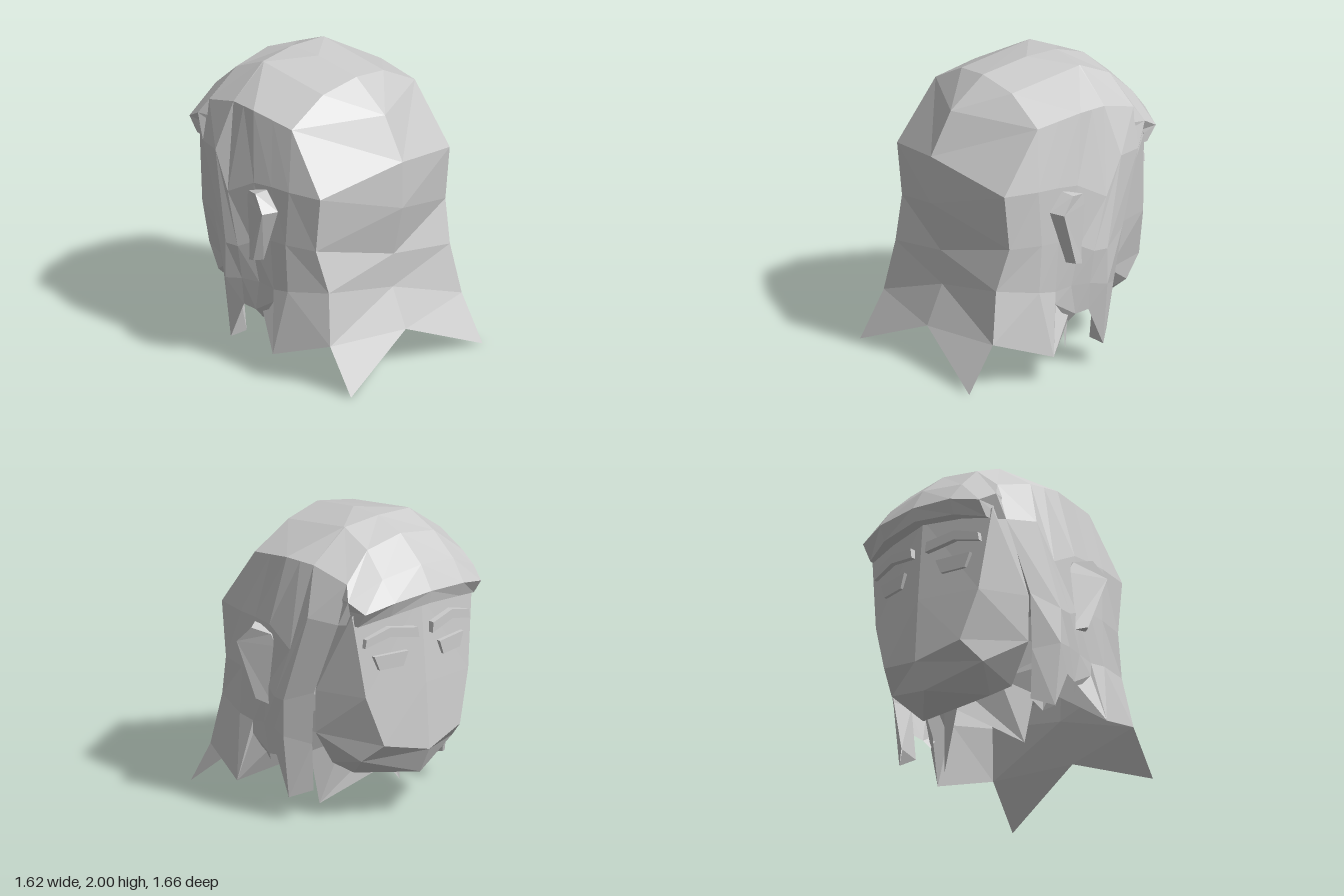
import * as THREE from 'three';

const skinGrey = new THREE.MeshStandardMaterial({ color: 0xcccccc, flatShading: true, side: THREE.DoubleSide });
skinGrey.name = 'light grey';

// Half surface lofted through rows of [x, y, z] points
function loft(rows) {
  const geo = new THREE.BufferGeometry();
  const index = [], n = rows[0].length;
  for (let i = 0; i < rows.length - 1; i++) {
    for (let j = 0; j < n - 1; j++) {
      const a = i * n + j, b = a + 1, c = b + n, d = a + n;
      index.push(a, b, c, a, c, d);
    }
  }
  geo.setAttribute('position', new THREE.Float32BufferAttribute(rows.flat(2), 3));
  geo.setIndex(index);
  return geo;
}

// Flat outline given thickness, then bent by a rule
function slab(points, depth, rule) {
  const shape = new THREE.Shape(points.map(([x, y]) => new THREE.Vector2(x, y)));
  const geo = new THREE.ExtrudeGeometry(shape, { depth, bevelEnabled: false });
  const p = geo.attributes.position;
  for (let i = 0; i < p.count; i++) p.setXYZ(i, ...rule(p.getX(i), p.getY(i), p.getZ(i)));
  return geo;
}

// Mirrored copy with the corner order turned round
function mirror(geo) {
  const out = geo.clone();
  const p = out.attributes.position;
  for (let i = 0; i < p.count; i += 3) {
    const v = [0, 2, 1].map(k => [-p.getX(i + k), p.getY(i + k), p.getZ(i + k)]);
    v.forEach((q, k) => p.setXYZ(i + k, ...q));
  }
  return out;
}

export function createModel() {
  const model = new THREE.Group();
  model.name = 'head';

  function addPair(name, geo) {
    const half = geo.index ? geo.toNonIndexed() : geo;
    [['Left', half], ['Right', mirror(half)]].forEach(([side, g]) => {
      g.computeVertexNormals();
      const mesh = new THREE.Mesh(g, skinGrey);
      mesh.name = name + side;
      model.add(mesh);
    });
  }

  // Back of the hair, from the split hem up to the crown
  addPair('backHair', loft([
    [[0, 0.27, 0.73], [0.63, 0, 0.83]],
    [[0, 0.54, 0.61], [0.63, 0.31, 0.64]],
    [[0, 0.78, 0.62], [0.58, 0.66, 0.58]],
    [[0, 1.13, 0.70], [0.62, 0.95, 0.50]],
    [[0, 1.46, 0.70], [0.62, 1.33, 0.54]],
    [[0, 1.75, 0.54], [0.59, 1.74, 0.25]],
  ]));

  // Crown, from back to front
  addPair('crown', loft([
    [[0, 1.75, 0.54], [0.295, 1.745, 0.395], [0.59, 1.74, 0.25]],
    [[0, 1.95, 0.28], [0.29, 1.90, 0.25], [0.59, 1.74, 0.25]],
    [[0, 2.0, -0.07], [0.29, 1.98, -0.29], [0.61, 1.79, -0.08]],
    [[0, 2.0, -0.31], [0.29, 1.98, -0.30], [0.57, 1.78, -0.30]],
    [[0, 1.93, -0.53], [0.30, 1.88, -0.53], [0.52, 1.70, -0.57]],
  ]));

  // Fringe with its rim and underside, the last column tucked under the side hair
  addPair('fringe', loft([
    [[0, 1.93, -0.53], [0.30, 1.88, -0.53], [0.52, 1.70, -0.57], [0.52, 1.70, -0.52]],
    [[0, 1.76, -0.73], [0.32, 1.72, -0.70], [0.565, 1.60, -0.63], [0.54, 1.60, -0.50]],
    [[0, 1.60, -0.83], [0.31, 1.58, -0.81], [0.52, 1.53, -0.75], [0.54, 1.52, -0.50]],
    [[0, 1.51, -0.81], [0.31, 1.48, -0.77], [0.52, 1.43, -0.68], [0.54, 1.45, -0.50]],
    [[0, 1.51, -0.68], [0.31, 1.48, -0.66], [0.52, 1.43, -0.60], [0.54, 1.42, -0.50]],
  ]));

  // Side hair, jagged hem first, each row from back to front
  addPair('sideHair', loft([
    [[0.63, 0.31, 0.64], [0.76, 0.18, 0.24], [0.68, 0.51, 0.17], [0.68, 0.41, 0.01],
      [0.70, 0.43, -0.08], [0.70, 0.16, -0.20], [0.58, 0.21, -0.31]],
    [[0.58, 0.66, 0.58], [0.68, 0.62, 0.30], [0.68, 0.60, 0.17], [0.69, 0.62, 0.05],
      [0.72, 0.62, -0.08], [0.75, 0.60, -0.20], [0.62, 0.55, -0.34]],
    [[0.62, 0.95, 0.50], [0.68, 0.95, 0.28], [0.69, 0.95, 0.15], [0.71, 0.90, 0],
      [0.74, 0.85, -0.10], [0.75, 0.85, -0.20], [0.65, 0.93, -0.39]],
    [[0.62, 1.33, 0.54], [0.67, 1.33, 0.30], [0.68, 1.33, 0.15], [0.69, 1.32, 0],
      [0.71, 1.20, -0.22], [0.68, 1.45, -0.36], [0.59, 1.43, -0.56]],
    [[0.59, 1.74, 0.25], [0.59, 1.74, 0.25], [0.60, 1.765, 0.085], [0.61, 1.79, -0.08],
      [0.59, 1.785, -0.19], [0.57, 1.78, -0.30], [0.52, 1.70, -0.57]],
  ]));

  // Temple corner joining the fringe to the front locks
  addPair('temple', loft([
    [[0.59, 1.43, -0.56], [0.52, 1.43, -0.62]],
    [[0.52, 1.70, -0.57], [0.565, 1.60, -0.63]],
  ]));

  // Inner edge of the front locks
  addPair('lockEdge', loft([
    [[0.58, 0.21, -0.31], [0.57, 0.17, -0.18], [0.70, 0.16, -0.20]],
    [[0.62, 0.55, -0.34], [0.59, 0.55, -0.20], [0.70, 0.50, -0.12]],
    [[0.65, 0.93, -0.39], [0.59, 0.95, -0.25], [0.66, 0.93, -0.10]],
    [[0.59, 1.43, -0.56], [0.54, 1.42, -0.45], [0.56, 1.42, -0.30]],
  ]));

  // Inner layer of hair behind the side notches, and the fold above it
  addPair('underHair', loft([
    [[0.76, 0.18, 0.24], [0.52, 0.36, -0.07]],
    [[0.62, 0.60, 0.22], [0.58, 0.60, -0.10]],
  ]));
  addPair('hemFold', loft([
    [[0.64, 0.35, 0.04], [0.64, 0.35, 0.04]],
    [[0.68, 0.51, 0.17], [0.68, 0.41, 0.01]],
  ]));

  // Face, chin and underside of the jaw
  addPair('face', loft([
    [[0, 1.55, -0.73], [0.54, 1.50, -0.64], [0.54, 1.50, -0.50]],
    [[0, 0.95, -0.78], [0.46, 0.92, -0.69], [0.61, 0.93, -0.36]],
    [[0, 0.49, -0.81], [0.34, 0.57, -0.74], [0.58, 0.62, -0.33]],
    [[0, 0.31, -0.72], [0.41, 0.44, -0.59], [0.58, 0.62, -0.33]],
    [[0, 0.29, -0.40], [0.30, 0.29, -0.40], [0.40, 0.36, -0.30]],
  ]));

  // Pointed neck flaps
  addPair('neckFlap', loft([
    [[0, 0.45, -0.36], [0.25, 0.48, -0.25], [0.46, 0.55, -0.10]],
    [[0, 0.28, -0.40], [0.36, 0.02, -0.13], [0.40, 0.38, -0.08]],
  ]));

  // Ears, flaring out towards the back
  const earOutline = [[-0.23, 1.18], [-0.10, 0.80], [0.05, 0.76], [0.07, 0.95], [0.07, 1.18], [0.03, 1.26], [-0.13, 1.31]];
  addPair('ear', slab(earOutline, 0.1, (x, y, z) => z > 0
    ? [0.69 + 0.4 * (0.07 - x), y - (y > 1.28 ? 0.02 : 0), -x - (x < -0.08 ? 0.04 : 0)]
    : [x < -0.08 ? 0.70 : 0.64, y, -x]));

  // Arched eyebrows and slim eyes, following the slant of the face
  const browOutline = [[0.06, 1.28], [0.28, 1.32], [0.47, 1.27], [0.46, 1.33], [0.28, 1.385], [0.07, 1.35]];
  const eyeOutline = [[0.18, 1.10], [0.36, 1.10], [0.40, 1.20], [0.14, 1.20]];
  const slant = front => (x, y, z) => [x, y, front + 0.2 * x + z];
  addPair('eyebrow', slab(browOutline, 0.12, slant(-0.79)));
  addPair('eye', slab(eyeOutline, 0.1, slant(-0.79)));

  return model;
}
